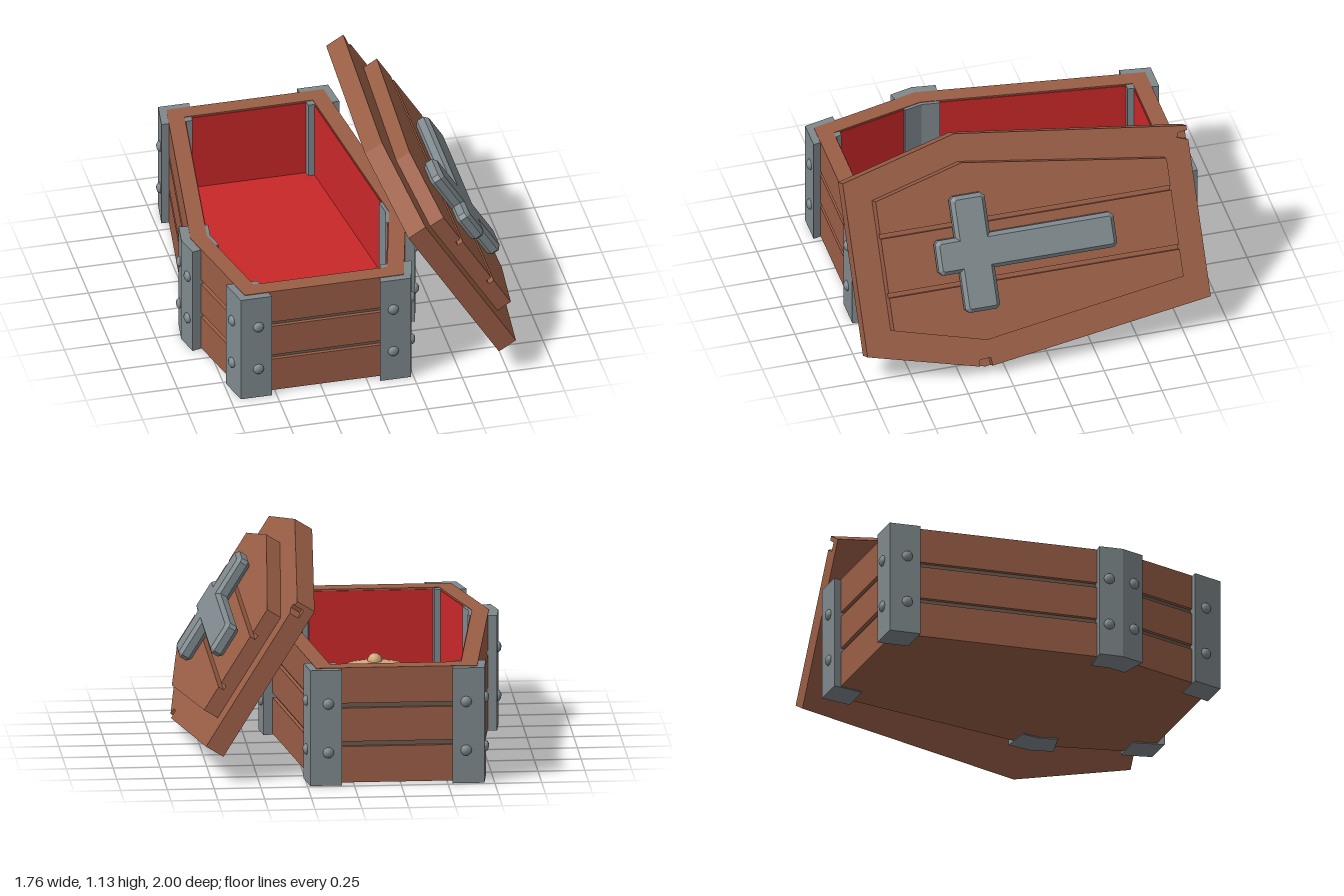
import * as THREE from 'three';

const mat = (name, color) => {
  const m = new THREE.MeshStandardMaterial({ color });
  m.name = name;
  return m;
};

// Upright prism from a clockwise [x, z] outline, with an optional hole
function prism(outline, y0, y1, hole, bevel = 0) {
  const toV = ([x, z]) => new THREE.Vector2(x, -z);
  const shape = new THREE.Shape(outline.map(toV));
  if (hole) shape.holes.push(new THREE.Path(hole.map(toV).reverse()));
  const geo = new THREE.ExtrudeGeometry(shape, {
    depth: y1 - y0 - 2 * bevel, bevelEnabled: bevel > 0, bevelSegments: 1,
    bevelSize: bevel, bevelThickness: bevel, bevelOffset: -bevel,
  });
  return geo.rotateX(-Math.PI / 2).translate(0, y0 + bevel, 0);
}

// Six-sided plan of the box
const HEX = [[0.43, -0.94], [0.59, 0.29], [0.435, 0.89], [-0.435, 0.89], [-0.59, 0.29], [-0.43, -0.94]];

// Corner position moved outward by d, with directions and normals of its two edges
function corner(i, d) {
  const [a, p, b] = [i + 5, i, i + 1].map((k) => new THREE.Vector2(...HEX[k % 6]));
  const e1 = p.clone().sub(a).normalize();
  const e2 = b.clone().sub(p).normalize();
  const n1 = new THREE.Vector2(e1.y, -e1.x);
  const n2 = new THREE.Vector2(e2.y, -e2.x);
  const pos = p.clone().addScaledVector(n1.clone().add(n2), d / (1 + n1.dot(n2)));
  return { pos, back: e1.negate(), fwd: e2, n1, n2 };
}
const offsetHex = (d) => HEX.map((_, i) => corner(i, d).pos.toArray());

// Four-sided post filling an end corner
function cornerPost(c, len) {
  const a = c.pos.clone().addScaledVector(c.back, len);
  const b = c.pos.clone().addScaledVector(c.fwd, len);
  return [a, c.pos, b, a.clone().addScaledVector(c.fwd, len)].map((p) => p.toArray());
}

// Bent post following the wall at a side corner
function sidePost(c, inner, len, depth) {
  const a = c.pos.clone().addScaledVector(c.back, len);
  const b = c.pos.clone().addScaledVector(c.fwd, len);
  return [a, c.pos, b, b.clone().addScaledVector(c.n2, -depth), inner.pos,
    a.clone().addScaledVector(c.n1, -depth)].map((p) => p.toArray());
}

// Cut the outward corners of a clockwise outline
function chamfer(points, size) {
  const v = points.map((p) => new THREE.Vector2(...p));
  return v.flatMap((p, i) => {
    const a = v.at(i - 1).clone().sub(p).normalize();
    const b = v[(i + 1) % v.length].clone().sub(p).normalize();
    if (a.cross(b) > 0) return [p.toArray()];
    return [a, b].map((d) => p.clone().addScaledVector(d, size).toArray());
  });
}

export function createModel() {
  const wood = mat('wood', 0x9a5e46);
  const core = mat('groove wood', 0x6b5a50);
  const metal = mat('iron', 0x7f898d);
  const red = mat('red lining', 0xca2729);
  const tan = mat('cushion cloth', 0xd2a878);

  const root = new THREE.Group();
  root.name = 'coffin';
  const add = (parent, name, geo, material) => {
    const m = new THREE.Mesh(geo, material);
    m.name = name;
    parent.add(m);
    return m;
  };

  // Box: three plank rings around a recessed core
  const box = new THREE.Group();
  box.name = 'box';
  box.position.x = -0.23;
  root.add(box);
  const inner = offsetHex(-0.09);
  [[0.006, 0.203], [0.23, 0.413], [0.44, 0.635]].forEach(([a, b]) =>
    add(box, 'plankRing', prism(offsetHex(0), a, b, inner), wood));
  add(box, 'grooveCore', prism(offsetHex(-0.02), 0.19, 0.46, inner), core);
  add(box, 'base', prism(inner, 0.006, 0.17), wood);

  // Red lining on floor and walls
  add(box, 'floorLining', prism(inner, 0.17, 0.18), red);
  add(box, 'wallLining', prism(inner, 0.18, 0.626, offsetHex(-0.095)), red);

  // Iron posts with rivets
  const rivetGeo = new THREE.SphereGeometry(0.03, 10, 6);
  HEX.forEach((_, i) => {
    const side = i === 1 || i === 4;
    const c = corner(i, side ? 0.05 : 0.04);
    const outline = side ? sidePost(c, corner(i, -0.108), 0.13, 0.158) : cornerPost(c, 0.17);
    add(box, 'post', prism(outline, 0, 0.632), metal);
    [[c.back, c.n1], [c.fwd, c.n2]].forEach(([dir, n]) => {
      const p = c.pos.clone().addScaledVector(dir, side ? 0.075 : 0.097);
      [0.18, 0.447].forEach((y) => {
        const r = add(box, 'rivet', rivetGeo, metal);
        r.position.set(p.x, y, p.y);
        r.rotation.y = Math.atan2(n.x, n.y);
        r.scale.z = 0.7;
      });
    });
  });

  // Cushion with centre button
  const cushion = add(box, 'cushion', new THREE.SphereGeometry(1, 16, 10), tan);
  cushion.scale.set(0.25, 0.1, 0.193);
  cushion.position.set(0, 0.205, 0.54);
  const button = add(box, 'cushionButton', new THREE.SphereGeometry(0.04, 10, 8), tan);
  button.position.set(0, 0.305, 0.54);

  // Lid leaning on the box: local x runs down the slope, local y points outward
  const lid = new THREE.Group();
  lid.name = 'lid';
  lid.position.set(0.543, 0.598, 0);
  lid.rotation.z = -1.0165;
  root.add(lid);
  add(lid, 'lidInnerLayer', prism(
    [[-0.465, -0.9], [0.46, -0.9], [0.635, 0.36], [0.475, 1], [-0.465, 1], [-0.63, 0.36]], -0.109, -0.055), wood);
  // Outer layer has two chipped edges
  add(lid, 'lidOuterLayer', prism(
    [[-0.465, -0.9], [-0.44, -0.9], [-0.435, -0.85], [-0.41, -0.84], [-0.39, -0.9], [0.46, -0.9],
      [0.631, 0.33], [0.585, 0.335], [0.59, 0.395], [0.625, 0.4], [0.475, 1], [-0.465, 1], [-0.63, 0.36]],
    -0.055, 0), wood);

  // Raised panel: backing plus three planks split by grooves
  const halfWidth = (z) => (z > 0.36
    ? THREE.MathUtils.mapLinear(z, 0.36, 0.855, 0.48, 0.35)
    : THREE.MathUtils.mapLinear(z, -0.75, 0.36, 0.32, 0.48));
  const zs = [-0.75, 0.36, 0.855];
  const panel = (x0, x1) => [
    ...zs.map((z) => [x1 ?? halfWidth(z), z]),
    ...zs.slice().reverse().map((z) => [x0 ?? -halfWidth(z), z]),
  ];
  add(lid, 'panelBacking', prism(panel(), 0, 0.053), wood);
  [[null, -0.173], [-0.147, 0.147], [0.173, null]].forEach(([a, b]) =>
    add(lid, 'panelPlank', prism(panel(a, b), 0.053, 0.085), wood));

  // Bevelled iron cross
  const w = 0.095, arm = 0.315, z0 = 0.58, z1 = 0.465, z2 = 0.275, z3 = -0.405;
  const cross = [[-w, z3], [w, z3], [w, z2], [arm, z2], [arm, z1], [w, z1],
    [w, z0], [-w, z0], [-w, z1], [-arm, z1], [-arm, z2], [-w, z2]];
  add(lid, 'cross', prism(chamfer(cross, 0.02), 0.083, 0.163, null, 0.02), metal);

  return root;
}
